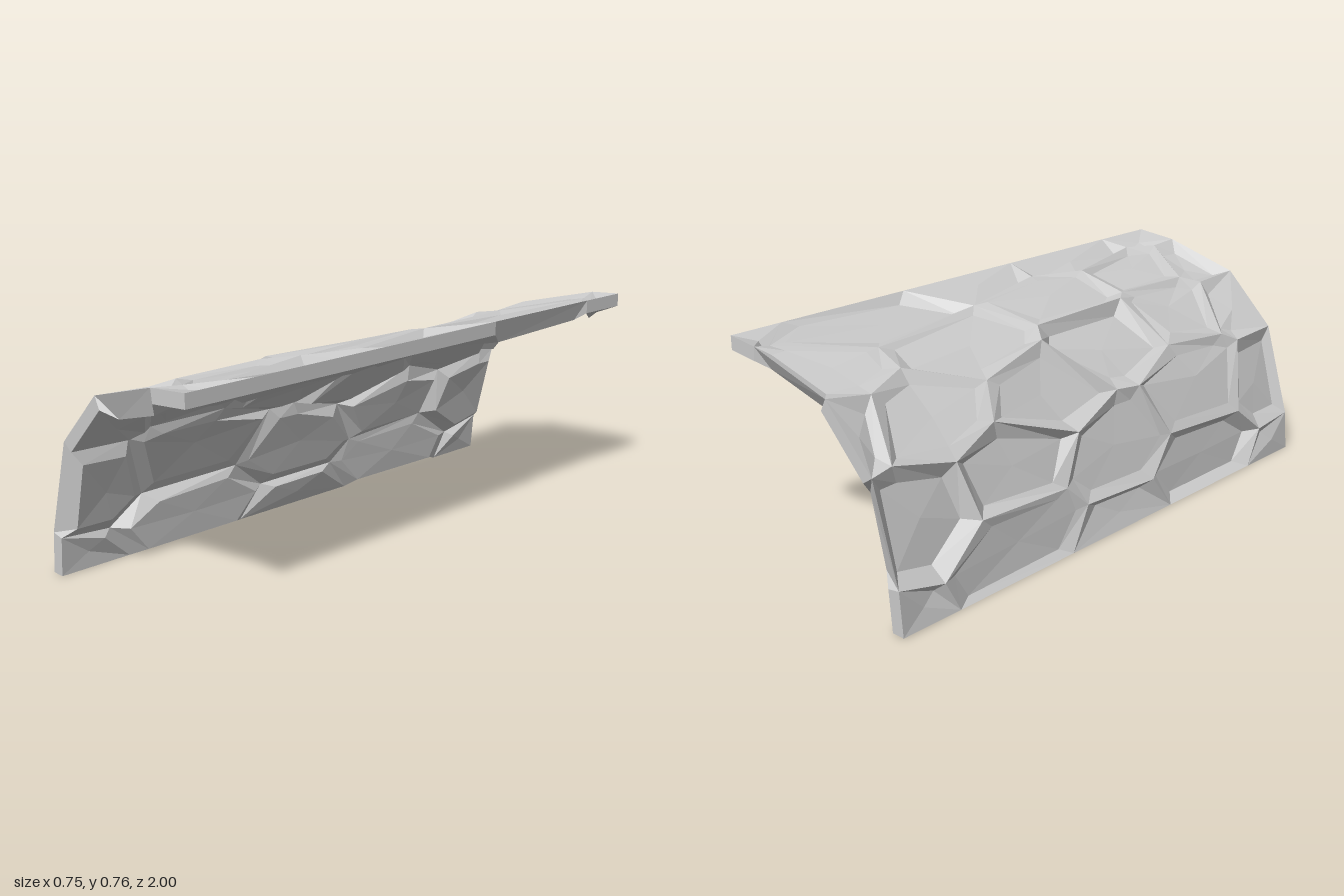
import * as THREE from 'three';

const THICK = 0.047;
const Z_SCALE = 0.6; // plates are longer along z than across the arch

// Arch profile of the outer face, from foot to crown
const profile = new THREE.CatmullRomCurve3([
  [-0.375, 0], [-0.365, 0.13], [-0.31, 0.37], [-0.262, 0.475],
  [-0.1, 0.645], [0.1, 0.718], [0.25, 0.746], [0.375, 0.757],
].map(([x, y]) => new THREE.Vector3(x, y, 0)));
const LEN = profile.getLength();

// Rock plate centres: distance along the profile, z (some lie past the rim),
// and 1 where the plate's edge at the rim is chamfered instead of flush
const PLATES = [
  [-0.03, 1.06], [0.1, 0.46, 1], [-0.02, 0], [0.1, -0.46, 1], [-0.02, -1.12],
  [0.32, 0.98, 1], [0.38, 0.5], [0.28, 0.03], [0.36, -0.42], [0.32, -0.9, 1],
  [0.66, 0.95], [0.71, 0.61], [0.66, 0.18], [0.54, -0.22], [0.62, -0.7], [0.66, -1.05],
  [0.86, 0.95, 1], [0.93, 0.63], [0.93, 0.19], [0.82, -0.4], [0.86, -0.95, 1],
  [1.26, 1.05], [1.19, 0.45], [1.21, 0], [1.1, -0.52, 1], [1.34, -1.1],
];

let seed = 11;
const rand = () => (seed = (seed * 16807) % 2147483647) / 2147483647;

// Maps (distance s, z) to space, sunk below the outer face by depth
function place(s, z, depth) {
  const u = THREE.MathUtils.clamp(s / LEN, 0, 1);
  const p = profile.getPointAt(u), t = profile.getTangentAt(u);
  return new THREE.Vector3(
    Math.min(0.375, p.x + t.y * depth), Math.max(0, p.y - t.x * depth), z);
}

// Keeps the part of a polygon that is nearer to a than to b
function clipNearer(poly, a, b) {
  const ns = b[0] - a[0], nz = (b[1] - a[1]) * Z_SCALE ** 2;
  const side = p => (p[0] - (a[0] + b[0]) / 2) * ns + (p[1] - (a[1] + b[1]) / 2) * nz;
  const out = [];
  poly.forEach((p, i) => {
    const q = poly[(i + 1) % poly.length], dp = side(p), dq = side(q);
    if (dp <= 0) out.push(p);
    if (dp * dq < 0) {
      const k = dp / (dp - dq);
      out.push([p[0] + (q[0] - p[0]) * k, p[1] + (q[1] - p[1]) * k]);
    }
  });
  return out;
}

const onRim = (p, q) => [[0, 0], [0, LEN], [1, -1], [1, 1]].some(
  ([axis, v]) => Math.abs(p[axis] - v) < 1e-6 && Math.abs(q[axis] - v) < 1e-6);

// Uneven ridge height between plates, level along the rim
function ridgeDepth(p) {
  if (onRim(p, p)) return 0;
  return 0.008 + 0.01 * Math.sin(p[0] * 17 + p[1] * 11);
}

function meshFrom(name, points, material) {
  const geometry = new THREE.BufferGeometry().setFromPoints(points);
  geometry.computeVertexNormals();
  const mesh = new THREE.Mesh(geometry, material);
  mesh.name = name;
  return mesh;
}

export function createModel() {
  const group = new THREE.Group();
  group.name = 'rockArch';
  const material = new THREE.MeshStandardMaterial({ color: 0xcccccc, flatShading: true });
  const outer = [], inner = [], rim = [];

  for (const c of PLATES) {
    let cell = [[0, -1], [LEN, -1], [LEN, 1], [0, 1]];
    for (const other of PLATES) if (other !== c) cell = clipNearer(cell, c, other);
    const n = cell.length, chamfered = c[2] === 1;
    const mid = [0, 1].map(k => cell.reduce((sum, p) => sum + p[k], 0) / n);

    // Sunken, tilted plate inside a bevelled border; flush plates run out to the rim
    const sink = 0.016 + 0.028 * rand();
    const tiltS = (rand() - 0.5) * 0.12, tiltZ = (rand() - 0.5) * 0.08;
    const bump = (rand() - 0.5) * 0.016;
    const inset = cell.map(p => {
      if (!chamfered && onRim(p, p)) return [p[0], p[1], 0];
      const ds = mid[0] - p[0], dz = mid[1] - p[1];
      const k = Math.min(0.4, 0.055 / Math.hypot(ds, dz));
      const q = [p[0] + ds * k, p[1] + dz * k];
      const depth = sink + tiltS * (q[0] - mid[0]) + tiltZ * (q[1] - mid[1]);
      return [...q, Math.max(0.005, depth)];
    });

    // The same sheet is made twice: outer face and inner face
    const [outside, inside] = [0, THICK].map(offset => {
      const ridge = cell.map(p => place(p[0], p[1], ridgeDepth(p) + offset));
      const plate = inset.map(p => place(p[0], p[1], p[2] + offset));
      const centre = plate.reduce((sum, v) => sum.add(v), new THREE.Vector3()).divideScalar(n);
      const inward = place(mid[0], mid[1], 0.01).sub(place(mid[0], mid[1], 0)).normalize();
      return { ridge, plate, centre: centre.addScaledVector(inward, bump) };
    });

    for (let i = 0; i < n; i++) {
      const j = (i + 1) % n, atRim = onRim(cell[i], cell[j]);
      const { ridge: A, plate: B } = outside, { ridge: C, plate: D } = inside;
      outer.push(B[i], outside.centre, B[j]);
      inner.push(D[i], D[j], inside.centre);
      // Bevels, left out where a flush plate meets the rim
      if (!atRim || chamfered) outer.push(A[i], B[j], A[j], A[i], B[i], B[j]);
      if (!atRim) inner.push(C[i], C[j], D[j], C[i], D[j], D[i]);
      // Rim: a slanted chamfer with closed ends, or a flat wall
      else if (chamfered) {
        rim.push(A[i], A[j], D[j], A[i], D[j], D[i]);
        rim.push(A[i], D[i], C[i], A[j], C[j], D[j]);
      } else rim.push(A[i], A[j], C[j], A[i], C[j], C[i]);
    }
  }

  group.add(
    meshFrom('outerRockFace', outer, material),
    meshFrom('innerRockFace', inner, material),
    meshFrom('edgeWalls', rim, material));
  return group;
}
